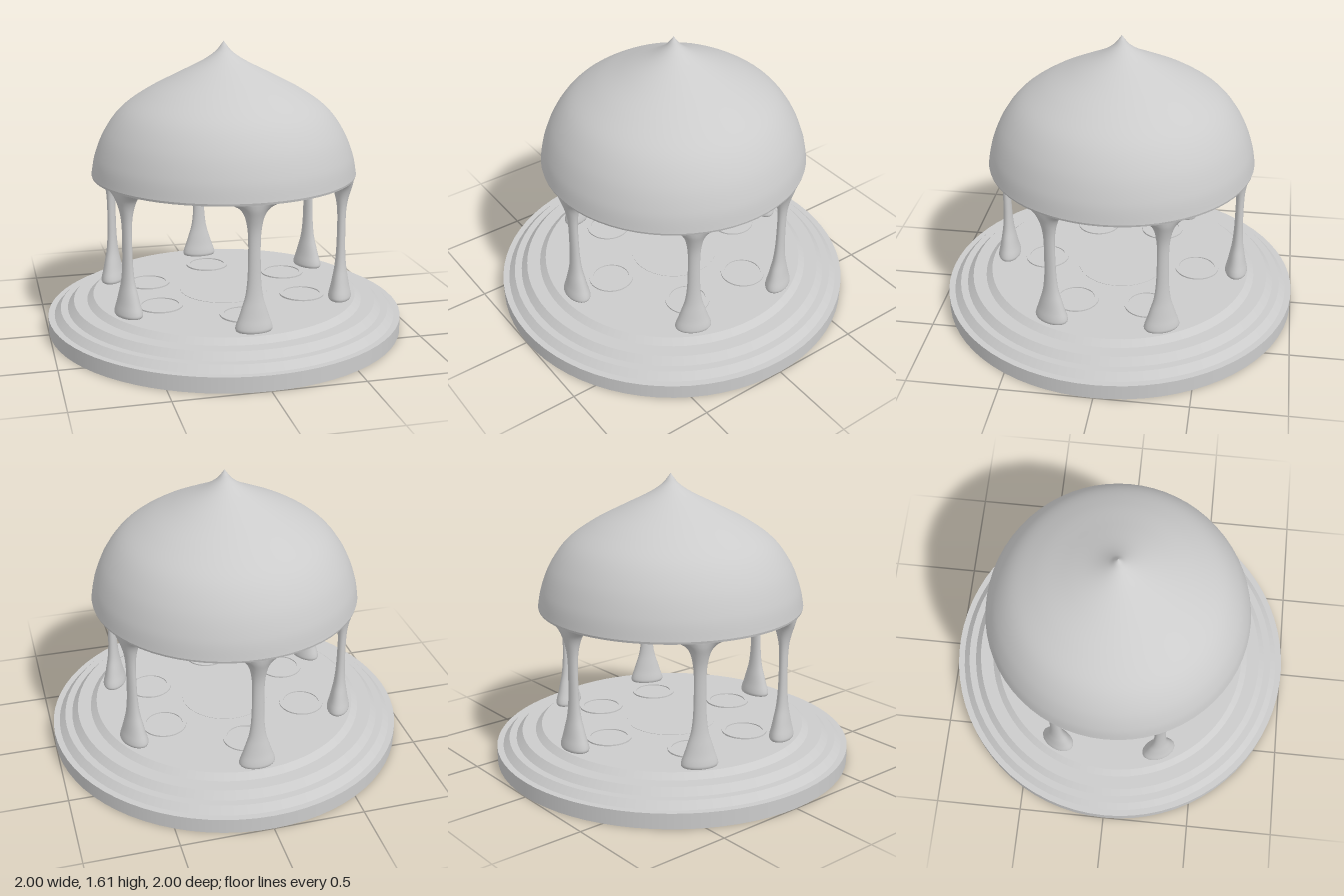
import * as THREE from 'three';
import { mergeGeometries, mergeVertices } from 'three/addons/utils/BufferGeometryUtils.js';

const grey = new THREE.MeshStandardMaterial({ color: 0xcccccc });
const V2 = (p) => new THREE.Vector2(p[0], p[1]);
const OFFSET_Z = -0.01; // pavilion sits slightly behind the base centre

function part(name, geometry, parent) {
  const mesh = new THREE.Mesh(geometry, grey);
  mesh.name = name;
  parent.add(mesh);
  return mesh;
}

// Lathe with a sharp edge at every profile point
function hardLathe(points, segments) {
  const bands = [];
  for (let i = 0; i + 1 < points.length; i++) {
    bands.push(new THREE.LatheGeometry([V2(points[i]), V2(points[i + 1])], segments));
  }
  return mergeGeometries(bands);
}

// Lathe along a smooth curve
function smoothLathe(points, steps, segments) {
  const curve = new THREE.SplineCurve(points.map(V2));
  const profile = curve.getPoints(steps);
  profile.forEach((p) => { p.x = Math.max(p.x, 0); });
  return new THREE.LatheGeometry(profile, segments);
}

// Column with an elliptical section; stations are [half width, height, half depth]
function columnGeometry() {
  const stations = [
    [0.09, 0.185, 0.056], [0.099, 0.2, 0.063], [0.096, 0.22, 0.061], [0.082, 0.26, 0.052],
    [0.066, 0.31, 0.043], [0.048, 0.37, 0.033], [0.037, 0.45, 0.026], [0.033, 0.56, 0.023],
    [0.033, 0.68, 0.024], [0.038, 0.74, 0.03], [0.05, 0.795, 0.043], [0.072, 0.835, 0.055],
    [0.11, 0.86, 0.06], [0.17, 0.876, 0.062],
  ];
  const curve = new THREE.CatmullRomCurve3(stations.map((s) => new THREE.Vector3(...s)));
  const samples = curve.getPoints(48);
  let geo = new THREE.LatheGeometry(samples.map((s) => new THREE.Vector2(s.x, s.y)), 28);
  const pos = geo.attributes.position;
  for (let i = 0; i < pos.count; i++) {
    const s = samples[i % samples.length];
    pos.setZ(i, pos.getZ(i) * s.z / s.x);
  }
  geo.deleteAttribute('uv');
  geo.deleteAttribute('normal');
  geo = mergeVertices(geo);
  geo.computeVertexNormals();
  return geo;
}

export function createModel() {
  const model = new THREE.Group();
  model.name = 'domedPavilion';

  // Round base with chamfered steps
  part('steppedBase', hardLathe([
    [0, 0], [1, 0], [1, 0.085], [0.965, 0.085], [0.93, 0.122], [0.89, 0.122],
    [0.855, 0.16], [0.78, 0.16], [0.745, 0.19], [0, 0.19],
  ], 72), model);

  const pavilion = new THREE.Group();
  pavilion.name = 'pavilion';
  pavilion.position.z = OFFSET_Z;
  model.add(pavilion);

  // Floor medallion in the centre
  part('centreDisc', hardLathe([[0.25, 0.19], [0.25, 0.192], [0, 0.192]], 48), pavilion);

  // Six columns, each with a floor ring inside it
  const column = columnGeometry();
  const ring = hardLathe([
    [0.125, 0.19], [0.125, 0.198], [0.103, 0.198], [0.103, 0.192], [0, 0.192],
  ], 36);
  const places = [[0, 0.668], [0.596, 0.299], [0.596, -0.299], [0, -0.668], [-0.596, -0.299], [-0.596, 0.299]];
  places.forEach(([x, z], i) => {
    const c = part('column' + (i + 1), column, pavilion);
    c.position.set(x, 0, z);
    c.rotation.y = Math.atan2(x, z);
    const r = part('floorRing' + (i + 1), ring, pavilion);
    r.position.set(x * 0.68, 0, z * 0.66);
  });

  // Pointed dome: outer skin, flat rim and hollow inside
  const dome = new THREE.Group();
  dome.name = 'dome';
  pavilion.add(dome);
  part('domeOuter', smoothLathe([
    [0.735, 0.885], [0.714, 0.99], [0.66, 1.12], [0.57, 1.24], [0.436, 1.337],
    [0.275, 1.422], [0.126, 1.497], [0.05, 1.548], [0.015, 1.588], [0, 1.61],
  ], 60, 64), dome);
  part('domeRim', hardLathe([[0.61, 0.873], [0.732, 0.873], [0.735, 0.885]], 64), dome);
  part('domeInner', smoothLathe([
    [0, 1.43], [0.12, 1.4], [0.25, 1.34], [0.39, 1.26], [0.5, 1.16], [0.57, 1.04], [0.61, 0.873],
  ], 32, 64), dome);

  return model;
}
